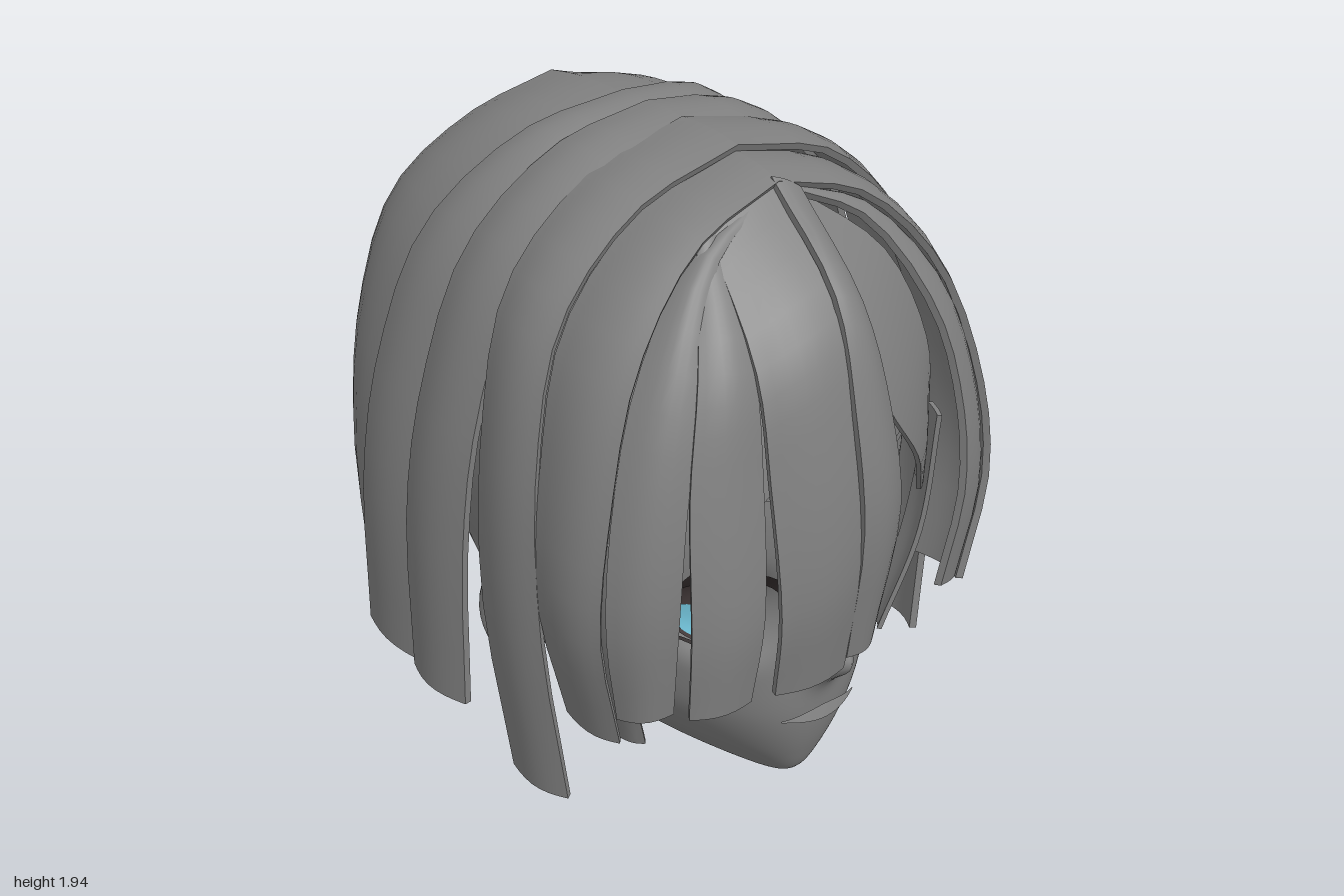
import * as THREE from 'three';
import { toCreasedNormals } from 'three/addons/utils/BufferGeometryUtils.js';

const V = (p) => new THREE.Vector3(...p);
const mat = (name, color) => Object.assign(
  new THREE.MeshStandardMaterial({ color, side: THREE.DoubleSide }), { name });

function meshOf(name, geo, material) {
  const m = new THREE.Mesh(geo, material);
  m.name = name;
  return m;
}

// Grid of points (rows x cols) to an indexed geometry; along x across faces out
function gridGeometry(rows, wrap) {
  const n = rows[0].length, pos = [], idx = [];
  rows.forEach((r) => r.forEach((p) => pos.push(p.x, p.y, p.z)));
  for (let i = 0; i < rows.length - 1; i++)
    for (let j = 0; j < (wrap ? n : n - 1); j++) {
      const k = (j + 1) % n, a = i * n + j, b = i * n + k, c = a + n, d = b + n;
      idx.push(a, c, b, b, c, d);
    }
  const g = new THREE.BufferGeometry();
  g.setAttribute('position', new THREE.Float32BufferAttribute(pos, 3));
  g.setIndex(idx);
  g.computeVertexNormals();
  return g;
}

// Thick hair lock between two edge curves, a on the left seen from outside
function lockGeometry(a, b, side = 1, bulge = 0.03, thick = 0.022) {
  const flip = (pts) => new THREE.CatmullRomCurve3(pts.map(([x, y, z]) => V([x * side, y, z])));
  const [ca, cb] = side > 0 ? [flip(a), flip(b)] : [flip(b), flip(a)];
  const rows = [], N = 16, M = 7;
  for (let i = 0; i <= N; i++) {
    const t = i / N, pa = ca.getPoint(t), pb = cb.getPoint(t), outer = [], inner = [];
    for (let j = 0; j <= M; j++) {
      const p = pa.clone().lerp(pb, j / M);
      const n = p.clone().sub(V([0, Math.min(p.y, 1), 0])).normalize();
      p.addScaledVector(n, bulge * Math.min(1, 0.3 + 2 * t) * Math.sin(Math.PI * j / M));
      outer.push(p);
      inner.unshift(p.clone().addScaledVector(n, -thick));
    }
    rows.push([...outer, ...inner]);
  }
  // close the tip and the root
  const mid = (r) => r.map((p, j) => p.clone().lerp(r[r.length - 1 - j], 0.5));
  return toCreasedNormals(gridGeometry([mid(rows[0]), ...rows, mid(rows[N])], true), 0.8);
}

// Head from tilted rings: half width, front z, back z, front y, back y, chin taper
const RINGS = [
  [0.21, 0.36, -0.08, 0.015, 0.22, 0], [0.28, 0.6, -0.17, 0.005, 0.26, 0.5],
  [0.37, 0.7, -0.45, 0.02, 0.4, 0.62], [0.46, 0.76, -0.58, 0.13, 0.5, 0.45],
  [0.52, 0.8, -0.65, 0.28, 0.6, 0.3], [0.55, 0.81, -0.7, 0.45, 0.7, 0.22],
  [0.58, 0.8, -0.74, 0.62, 0.8, 0.15], [0.6, 0.81, -0.76, 0.8, 0.92, 0.1],
  [0.6, 0.84, -0.77, 1.05, 1.1, 0.05], [0.57, 0.8, -0.72, 1.3, 1.3, 0],
  [0.46, 0.64, -0.56, 1.55, 1.55, 0], [0.28, 0.38, -0.34, 1.72, 1.72, 0], [0, 0, 0, 1.78, 1.78, 0],
];

function headGeometry() {
  const c1 = new THREE.CatmullRomCurve3(RINGS.map((r) => V(r.slice(0, 3))), false, 'catmullrom', 0.5);
  const c2 = new THREE.CatmullRomCurve3(RINGS.map((r) => V(r.slice(3))), false, 'catmullrom', 0.5);
  const rows = [], N = 110, M = 110, pw = (v) => Math.sign(v) * Math.abs(v) ** 0.85;
  for (let i = 0; i <= N; i++) {
    const { x: hw, y: zf, z: zb } = c1.getPoint(i / N), { x: yf, y: yb, z: taper } = c2.getPoint(i / N);
    const row = [];
    for (let j = 0; j < M; j++) {
      const t = (j / M) * 2 * Math.PI, th = t - 0.45 * Math.sin(t), c = Math.cos(th);
      const x = hw * pw(Math.sin(th)) * (1 - taper * Math.max(0, c));
      const k = (1 + pw(c)) / 2, y = yb + (yf - yb) * k;
      let z = zb + (zf - zb) * k;
      if (z > 0.35) {
        // nose
        z += 0.115 * Math.exp(-((x / 0.06) ** 2) - ((y - 0.515) / (y < 0.515 ? 0.085 : 0.075)) ** 2);
        // eye sockets
        const d = Math.hypot((Math.abs(x) - 0.285) / 0.14, (y - 0.68) / 0.15);
        z -= 0.085 * Math.exp(-(d ** 4));
      }
      row.push(V([x, y, z]));
    }
    rows.unshift(row);
  }
  return gridGeometry(rows, true);
}

// Side locks, crown to tip; each lock's front edge tucks under the one before
const tuck = (edge) => edge.map(([x, y, z]) => [x * 0.95, y - 0.012, z + 0.02]);
const EDGE_C = [[0, 1.94, -0.02], [0.3, 1.87, -0.05], [0.57, 1.62, -0.11], [0.72, 1.2, -0.15], [0.78, 0.8, -0.17], [0.785, 0.26, -0.17]];
const EDGE_D = [[0, 1.94, -0.13], [0.3, 1.87, -0.2], [0.56, 1.6, -0.34], [0.7, 1.2, -0.41], [0.76, 0.8, -0.44], [0.76, 0.27, -0.46]];
const EDGE_G = [[0.1, 1.84, -0.44], [0.15, 1.71, -0.7], [0.18, 1.5, -0.83], [0.2, 1.2, -0.92], [0.2, 0.8, -0.96], [0.17, 0.32, -0.88]];
const SIDE_LOCKS = {
  cheekLock: [
    [[0.04, 1.85, 0.55], [0.27, 1.73, 0.62], [0.43, 1.45, 0.75], [0.51, 1.15, 0.8], [0.54, 0.85, 0.81], [0.52, 0.49, 0.76]],
    [[0.1, 1.83, 0.52], [0.31, 1.74, 0.55], [0.54, 1.48, 0.62], [0.66, 1.15, 0.67], [0.7, 0.8, 0.69], [0.65, 0.48, 0.67]]],
  templeLock: [
    [[0, 1.88, 0.55], [0.3, 1.78, 0.58], [0.55, 1.52, 0.64], [0.69, 1.15, 0.7], [0.74, 0.8, 0.72], [0.67, 0.43, 0.71]],
    [[0, 1.91, 0.36], [0.33, 1.8, 0.35], [0.59, 1.55, 0.37], [0.71, 1.2, 0.42], [0.76, 0.8, 0.46], [0.69, 0.42, 0.49]]],
  longLock: [
    [[0, 1.93, 0.38], [0.35, 1.83, 0.38], [0.61, 1.58, 0.39], [0.73, 1.2, 0.43], [0.76, 0.7, 0.47], [0.7, 0.12, 0.5]],
    [[0, 1.94, 0.14], [0.35, 1.84, 0.14], [0.61, 1.6, 0.14], [0.73, 1.2, 0.17], [0.77, 0.7, 0.2], [0.73, 0.12, 0.27]]],
  earLock: [
    [[0, 1.93, 0.16], [0.3, 1.86, 0.16], [0.57, 1.62, 0.15], [0.72, 1.2, 0.13], [0.77, 0.8, 0.11], [0.78, 0.26, 0.1]], EDGE_C],
  rearSideLock: [tuck(EDGE_C), EDGE_D],
  cornerLock: [tuck(EDGE_D),
    [[0, 1.9, -0.48], [0.22, 1.78, -0.6], [0.42, 1.55, -0.73], [0.53, 1.2, -0.78], [0.56, 0.8, -0.78], [0.52, 0.29, -0.73]]],
  backLock: [
    [[0.12, 1.82, -0.42], [0.25, 1.71, -0.58], [0.42, 1.49, -0.7], [0.52, 1.15, -0.77], [0.53, 0.8, -0.79], [0.49, 0.32, -0.75]],
    [[0.07, 1.83, -0.42], [0.14, 1.68, -0.67], [0.18, 1.44, -0.8], [0.2, 1.15, -0.9], [0.2, 0.8, -0.94], [0.18, 0.32, -0.87]]],
  sweptFringe: [
    [[0.02, 1.84, 0.52], [0.06, 1.55, 0.77], [0.14, 1.29, 0.86], [0.34, 1.03, 0.8], [0.52, 0.78, 0.65]],
    [[0.1, 1.82, 0.5], [0.36, 1.6, 0.6], [0.5, 1.3, 0.65], [0.56, 1.05, 0.62], [0.58, 0.78, 0.58]]],
  underStrand: [
    [[0.6, 1, 0.64], [0.57, 0.6, 0.62], [0.47, 0.25, 0.57]],
    [[0.64, 1, 0.56], [0.6, 0.6, 0.53], [0.51, 0.25, 0.5]]],
};
// Front fringe, covers the right half of the face
const FRINGE = [
  [[[-0.01, 1.89, 0.53], [-0.03, 1.65, 0.82], [-0.05, 1.35, 0.94], [-0.04, 1, 0.985], [-0.03, 0.56, 0.93]],
    [[0.07, 1.85, 0.56], [0.08, 1.6, 0.81], [0.12, 1.3, 0.9], [0.14, 1, 0.94], [0.11, 0.56, 0.89]]],
  [[[-0.25, 1.8, 0.55], [-0.29, 1.5, 0.81], [-0.3, 1.2, 0.89], [-0.29, 0.8, 0.94], [-0.27, 0.52, 0.9]],
    [[0.02, 1.88, 0.52], [-0.01, 1.6, 0.83], [-0.03, 1.3, 0.93], [-0.02, 0.9, 0.97], [-0.03, 0.52, 0.92]]],
  [[[-0.29, 1.77, 0.56], [-0.43, 1.5, 0.74], [-0.51, 1.2, 0.81], [-0.54, 0.8, 0.86], [-0.53, 0.52, 0.84]],
    [[-0.22, 1.82, 0.54], [-0.28, 1.5, 0.79], [-0.3, 1.2, 0.86], [-0.325, 0.8, 0.91], [-0.34, 0.52, 0.88]]],
];

export function createModel() {
  const model = new THREE.Group();
  model.name = 'head';
  const grey = mat('grey', 0x808080), brown = mat('irisBrown', 0x483e3e);
  const blue = mat('irisBlue', 0x78cce4), dark = mat('lashDark', 0x2e2828);

  const face = meshOf('face', headGeometry(), grey);
  model.add(face);

  // Lay a flat x-y geometry onto the face
  const ray = new THREE.Raycaster();
  const drape = (geo, lift) => {
    const p = geo.attributes.position;
    for (let i = 0; i < p.count; i++) {
      ray.set(V([p.getX(i), p.getY(i), 3]), V([0, 0, -1]));
      const hit = ray.intersectObject(face)[0];
      p.setZ(i, (hit ? hit.point.z : 0.7) + lift);
    }
    geo.computeVertexNormals();
    return geo;
  };
  // Ribbon between a lower and an upper curve
  const ribbon = (low, up, side, lift) => {
    const curve = (pts) => new THREE.CatmullRomCurve3(pts.map(([x, y]) => V([x * side, y, 0]))).getPoints(24);
    const l = curve(low), u = curve(up);
    const mid = l.map((p, i) => p.clone().lerp(u[i], 0.5));
    return drape(gridGeometry(side > 0 ? [u, mid, l] : [l, mid, u], false), lift);
  };
  const disc = (side, rx, ry, start, len, lift) => drape(
    new THREE.RingGeometry(0, 1, 32, 5, start, len).scale(rx, ry, 1).translate(0.287 * side, 0.69, 0), lift);

  for (const side of [1, -1]) {
    const tag = side > 0 ? 'left' : 'right';
    const add = (name, geo, m) => model.add(meshOf(tag + name, geo, m));
    // Eye
    add('Iris', disc(side, 0.1, 0.128, 0, 2 * Math.PI, 0.006), brown);
    add('IrisGlow', disc(side, 0.092, 0.114, Math.PI - 0.08, Math.PI + 0.16, 0.011), blue);
    add('UpperLash', ribbon([[0.125, 0.68], [0.18, 0.775], [0.28, 0.825], [0.38, 0.81], [0.44, 0.77], [0.5, 0.815]],
      [[0.12, 0.69], [0.17, 0.805], [0.27, 0.865], [0.37, 0.88], [0.44, 0.855], [0.505, 0.825]], side, 0.035), dark);
    add('LashTip', ribbon([[0.41, 0.83], [0.455, 0.9]], [[0.38, 0.87], [0.455, 0.905]], side, 0.03), dark);
    add('OuterLash', ribbon([[0.375, 0.6], [0.405, 0.69], [0.415, 0.79]],
      [[0.37, 0.6], [0.393, 0.69], [0.39, 0.8]], side, 0.02), dark);
    add('LowerLash', ribbon([[0.2, 0.585], [0.29, 0.55], [0.38, 0.59]],
      [[0.2, 0.592], [0.29, 0.564], [0.38, 0.6]], side, 0.02), dark);
    add('Eyebrow', ribbon([[0.13, 1.05], [0.22, 1.09], [0.33, 1.1]],
      [[0.13, 1.065], [0.22, 1.115], [0.33, 1.12]], side, 0.008), grey);
    // Ear with a raised rim, flaring out at the back
    const ear = new THREE.Group();
    ear.name = tag + 'Ear';
    const lobe = meshOf('earShell', new THREE.SphereGeometry(1, 24, 16), grey);
    lobe.scale.set(0.05, 0.18, 0.11);
    const rim = meshOf('earRim', new THREE.TorusGeometry(0.09, 0.018, 8, 28), grey);
    rim.rotation.y = Math.PI / 2;
    rim.scale.set(1, 1.8, 1);
    rim.position.x = 0.03 * side;
    ear.add(lobe, rim);
    ear.position.set(0.63 * side, 0.58, 0.17);
    ear.rotation.set(0.12, -0.5 * side, -0.15 * side);
    model.add(ear);
    // Hair
    for (const [name, [a, b]] of Object.entries(SIDE_LOCKS)) {
      const thin = name === 'sweptFringe' || name === 'underStrand';
      const bulge = thin ? 0.01 : name === 'backLock' || name === 'cornerLock' ? 0.045 : 0.03;
      add(name[0].toUpperCase() + name.slice(1), lockGeometry(a, b, side, bulge, thin ? 0.015 : 0.022), grey);
    }
  }

  // Mouth, lower lip pushed forward
  const mouth = ribbon([[-0.14, 0.298], [0, 0.28], [0.14, 0.298]],
    [[-0.14, 0.302], [0, 0.318], [0.14, 0.302]], 1, 0.016);
  const mp = mouth.attributes.position;
  for (let i = 0; i < mp.count; i++) mp.setZ(i, mp.getZ(i) + (0.3 - mp.getY(i)) * 0.5);
  mouth.computeVertexNormals();
  model.add(meshOf('mouth', mouth, grey));

  // Fringe and centre back lock
  FRINGE.forEach(([a, b], i) => model.add(meshOf('fringeLock' + (i + 1), lockGeometry(a, b, 1, 0.025), grey)));
  model.add(meshOf('centreBackLock', lockGeometry(EDGE_G, EDGE_G.map(([x, y, z]) => [-x, y, z]), 1, 0.04), grey));
  return model;
}
